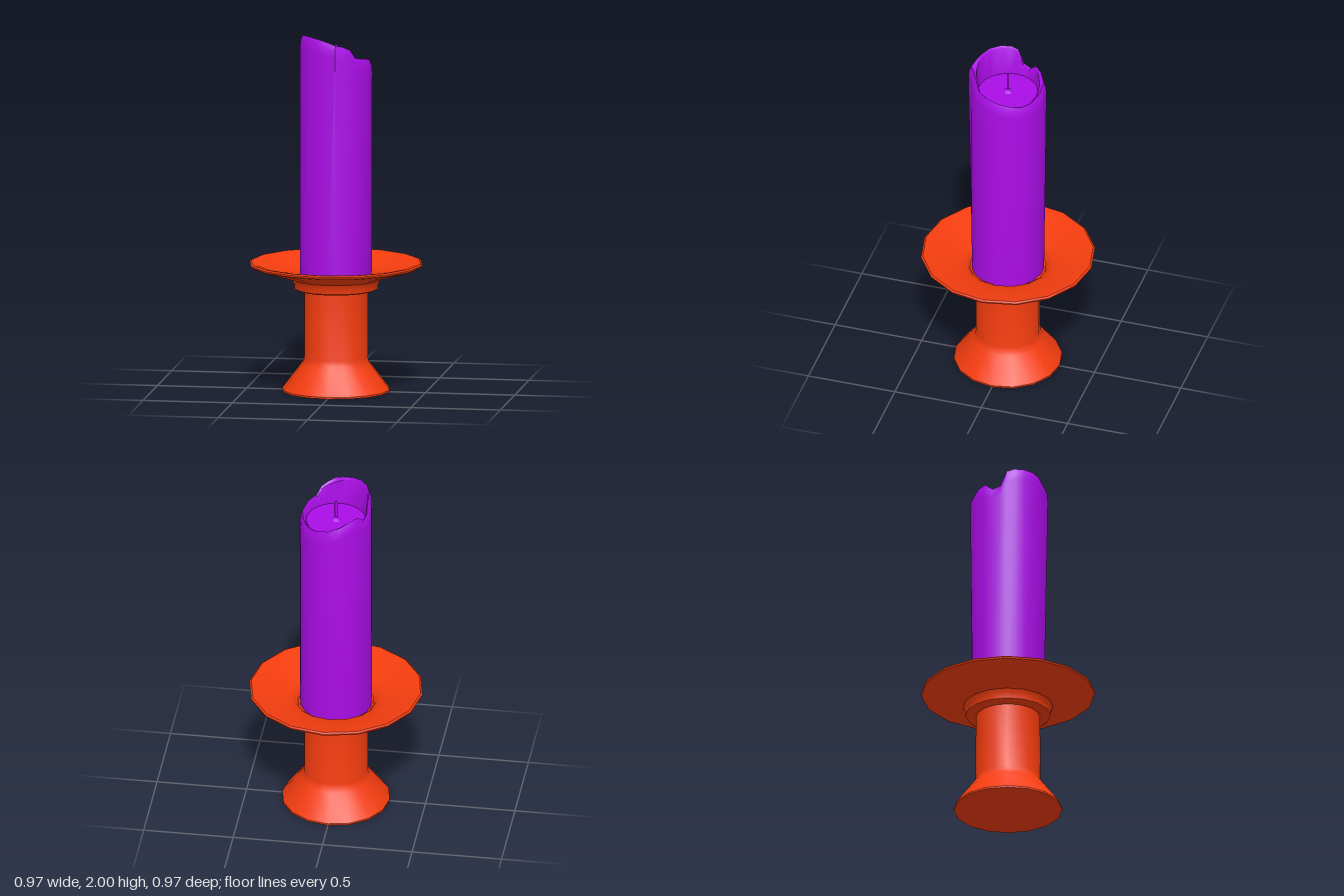
import * as THREE from 'three';
import { toCreasedNormals } from 'three/addons/utils/BufferGeometryUtils.js';

const orange = new THREE.MeshStandardMaterial({ color: 0xf53d0f });
const purple = new THREE.MeshStandardMaterial({ color: 0xaa0de6 });
const FLOOR = 1.82;

// Uneven melted rim: [angle in degrees from +x towards +z, rim height, outer radius]
const RIM = [
  [0, 1.86, 0.203], [25, 1.875, 0.2], [45, 1.885, 0.2], [56, 1.935, 0.2], [70, 1.955, 0.205],
  [82, 1.965, 0.222], [95, 1.98, 0.207], [112, 1.992, 0.2], [130, 2, 0.2], [150, 2, 0.2],
  [168, 1.995, 0.2], [181, 1.98, 0.198], [192, 1.895, 0.197], [206, 1.88, 0.2], [222, 1.92, 0.2],
  [237, 1.91, 0.205], [256, 1.885, 0.213], [275, 1.855, 0.205], [300, 1.835, 0.202],
  [320, 1.83, 0.2], [340, 1.845, 0.2],
];

function lathe(name, profile, sides, material) {
  const points = profile.map(([r, y]) => new THREE.Vector2(r, y));
  const mesh = new THREE.Mesh(toCreasedNormals(new THREE.LatheGeometry(points, sides), 0.6), material);
  mesh.name = name;
  return mesh;
}

// Candle: rings from the base up the outside, over the rim and down to the melted pool
function candleGeometry() {
  const rings = [
    () => [0, 0.62],
    () => [0.2, 0.62],
    (h, r) => [r, h - 0.07],
    (h, r) => [r - 0.004, h - 0.03],
    (h, r) => [r - 0.016, h],
    (h) => [0.175, h - 0.012],
    () => [0.165, FLOOR],
    () => [0, FLOOR],
  ];
  const n = RIM.length;
  const positions = [];
  const index = [];
  rings.forEach((ring, i) => {
    RIM.forEach(([deg, h, r], j) => {
      const a = THREE.MathUtils.degToRad(deg);
      const [radius, y] = ring(h, r);
      positions.push(radius * Math.cos(a), y, radius * Math.sin(a));
      if (i === 0) return;
      const k = (j + 1) % n;
      const a0 = (i - 1) * n + j, b0 = (i - 1) * n + k;
      const a1 = i * n + j, b1 = i * n + k;
      if (i > 1) index.push(a0, a1, b0);
      if (i < rings.length - 1) index.push(b0, a1, b1);
    });
  });
  const geometry = new THREE.BufferGeometry();
  geometry.setAttribute('position', new THREE.Float32BufferAttribute(positions, 3));
  geometry.setIndex(index);
  return toCreasedNormals(geometry, 0.65);
}

export function createModel() {
  const model = new THREE.Group();
  model.name = 'candleInHolder';

  // Flared foot, stem, collar and drip plate
  model.add(lathe('candleHolder', [
    [0, 0], [0.3, 0], [0.3, 0.01], [0.198, 0.145], [0.185, 0.165], [0.179, 0.19],
    [0.178, 0.565], [0.222, 0.568], [0.234, 0.575], [0.237, 0.605], [0.25, 0.628],
    [0.285, 0.643], [0.465, 0.695], [0.48, 0.703], [0.483, 0.713], [0.473, 0.72],
    [0.45, 0.718], [0.3, 0.68], [0.25, 0.664], [0.225, 0.645], [0.212, 0.625], [0, 0.622],
  ], 16, orange));

  const candle = new THREE.Mesh(candleGeometry(), purple);
  candle.name = 'candle';
  model.add(candle);

  // Wick with a small wax mound at its foot
  model.add(lathe('wick', [
    [0.03, FLOOR], [0.018, FLOOR + 0.008], [0.007, FLOOR + 0.014],
    [0.007, 1.93], [0.004, 1.94], [0, 1.94],
  ], 12, purple));

  return model;
}
